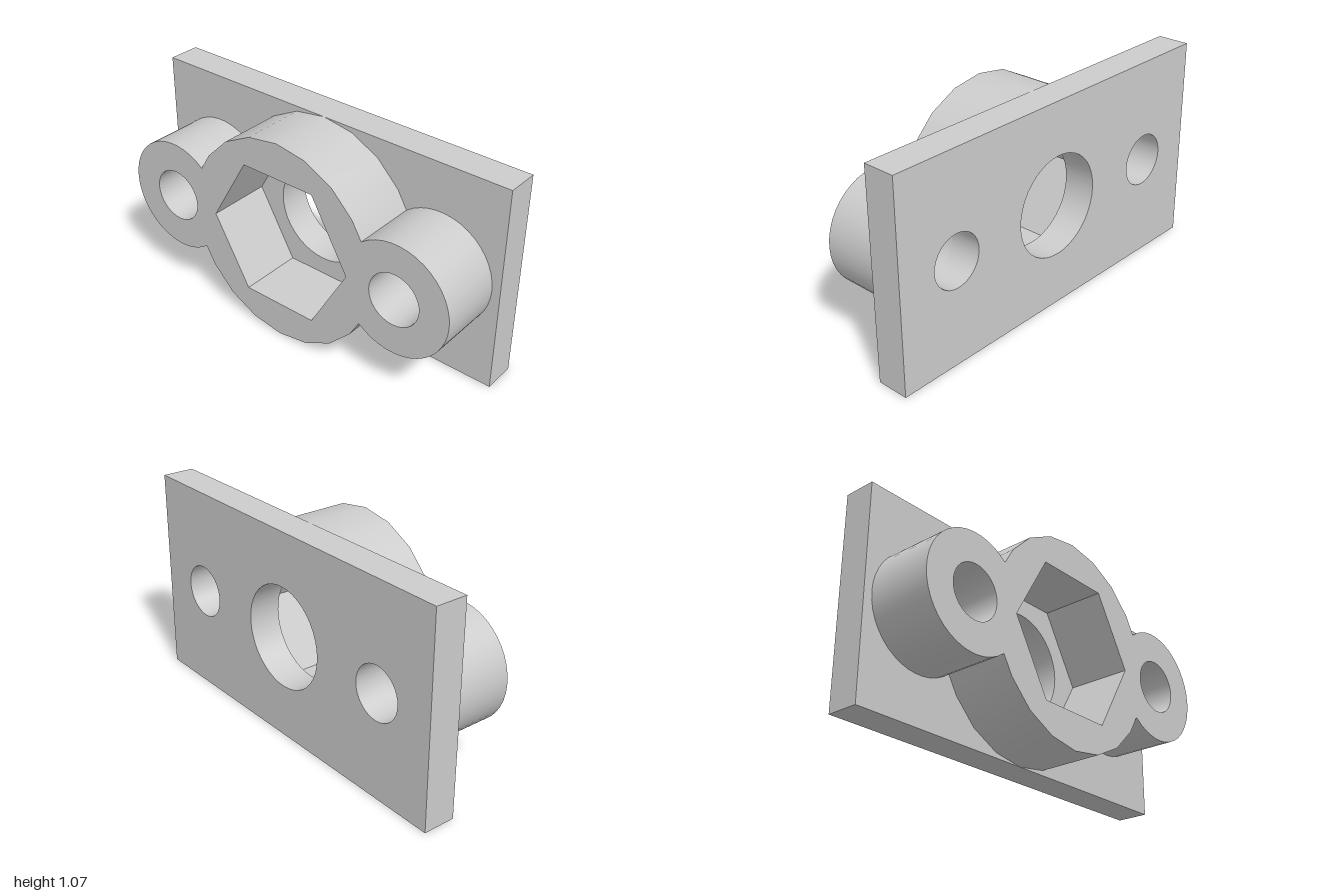
import * as THREE from 'three';
import { toCreasedNormals } from 'three/addons/utils/BufferGeometryUtils.js';

const CY = 0.533, BACK = -0.248, STEP = -0.083, FRONT = 0.248; // axis height and depth layers
const EAR_X = 0.667, EAR_R = 0.29, BOSS_R = 0.533;

// Points along an arc, angles in degrees
function arc(cx, r, from, to, steps) {
  return Array.from({ length: steps + 1 }, (_, i) => {
    const a = THREE.MathUtils.degToRad(from + ((to - from) * i) / steps);
    return new THREE.Vector2(cx + r * Math.cos(a), CY + r * Math.sin(a));
  });
}

const hole = (cx, r, sides) => new THREE.Path(arc(cx, r, 0, 360, sides).slice(0, -1));

// Extrude an outline with holes between two depths
function slab(name, points, holes, z0, z1, material) {
  const shape = new THREE.Shape(points);
  shape.holes.push(...holes);
  const geometry = new THREE.ExtrudeGeometry(shape, { depth: z1 - z0, bevelEnabled: false });
  geometry.translate(0, 0, z0);
  const mesh = new THREE.Mesh(toCreasedNormals(geometry, 0.45), material);
  mesh.name = name;
  return mesh;
}

export function createModel() {
  const group = new THREE.Group();
  group.name = 'nutHolderBracket';
  const grey = new THREE.MeshStandardMaterial({ color: 0xcccccc });
  grey.name = 'plainGrey';

  const boltHoles = () => [-EAR_X, EAR_X].map((x) => hole(x, 0.135, 32));

  // Rectangular back plate with a round centre hole
  const plate = [[-1, 0], [1, 0], [1, 2 * CY], [-1, 2 * CY]].map(([x, y]) => new THREE.Vector2(x, y));
  group.add(slab('backPlate', plate, [hole(0, 0.26, 40), ...boltHoles()], BACK, STEP, grey));

  // Raised boss: a faceted centre ring merged with two round ears, around a hexagonal pocket
  const outline = [
    ...arc(EAR_X, EAR_R, -129.3, 129.3, 30),
    ...arc(0, BOSS_R, 36, 144, 6),
    ...arc(-EAR_X, EAR_R, 50.7, 309.3, 30),
    ...arc(0, BOSS_R, 216, 324, 6),
  ];
  group.add(slab('boss', outline, [hole(0, 0.404, 6), ...boltHoles()], STEP, FRONT, grey));

  return group;
}
